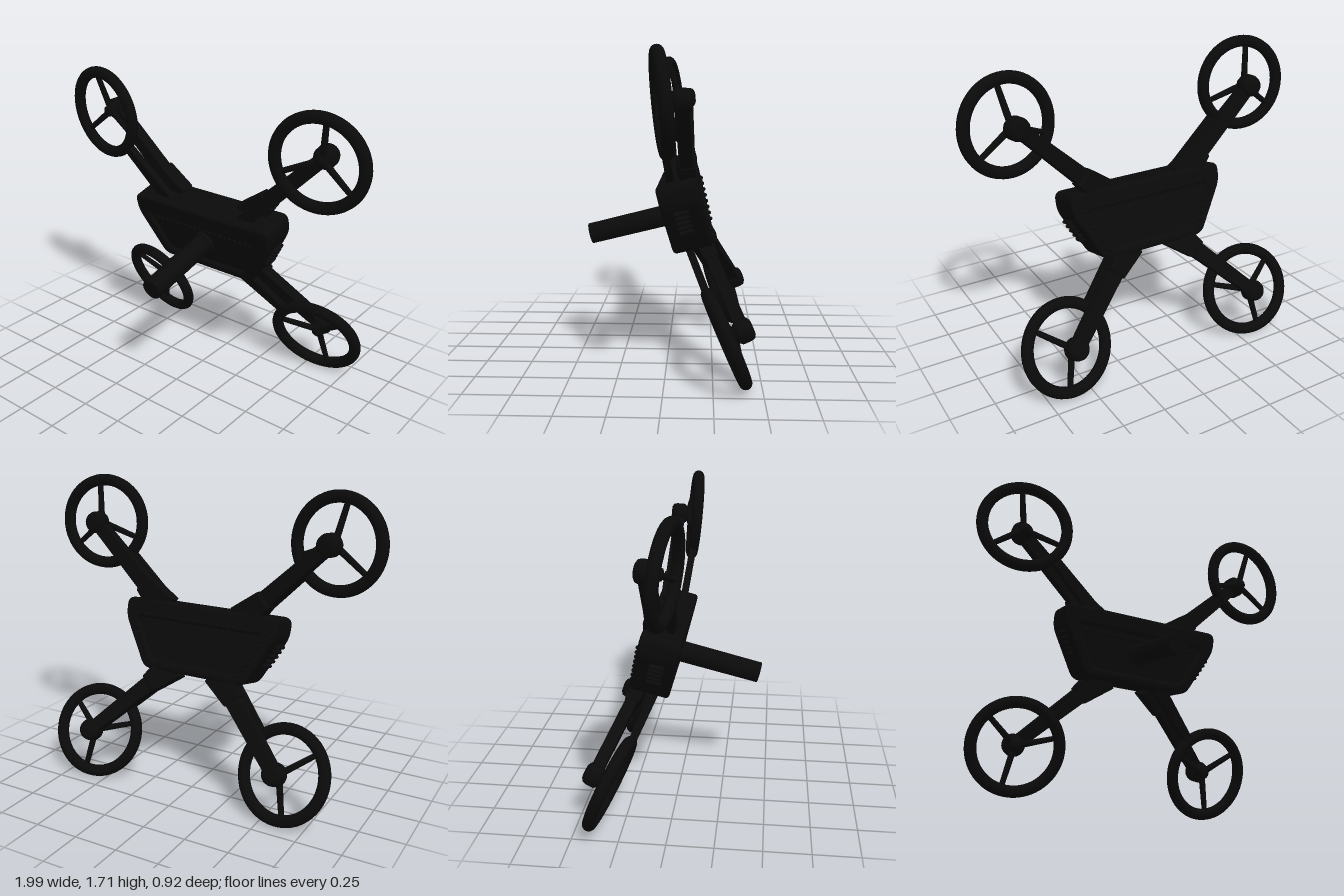
import * as THREE from 'three';
import { RoundedBoxGeometry } from 'three/addons/geometries/RoundedBoxGeometry.js';

const V = (x, y, z) => new THREE.Vector3(x, y, z);
const Z = V(0, 0, 1);

export function createModel() {
  const model = new THREE.Group();
  model.name = 'quadcopter';
  const mat = new THREE.MeshStandardMaterial({ color: 0x0a0a0a });

  // everything is pitched forward about the body centre
  const craft = new THREE.Group();
  craft.name = 'craft';
  craft.position.set(0, 0.845, -0.1);
  craft.rotation.x = 0.245;
  model.add(craft);

  const add = (parent, name, geo, pos) => {
    const mesh = new THREE.Mesh(geo, mat);
    mesh.name = name;
    if (pos) mesh.position.copy(pos);
    parent.add(mesh);
    return mesh;
  };

  // round bar between two points
  const rod = (parent, name, a, b, r0, r1, sides = 16) => {
    const d = b.clone().sub(a);
    const m = add(parent, name, new THREE.CylinderGeometry(r1, r0, d.length(), sides), a.clone().add(b).multiplyScalar(0.5));
    m.quaternion.setFromUnitVectors(V(0, 1, 0), d.normalize());
    return m;
  };

  // tapered rounded beam between two points, its depth kept towards z
  const beam = (name, a, b, w0, w1, depth) => {
    const dir = b.clone().sub(a);
    const len = dir.length();
    dir.normalize();
    const geo = new RoundedBoxGeometry(1, len, depth, 3, 0.015);
    const p = geo.attributes.position;
    for (let i = 0; i < p.count; i++) {
      const t = p.getY(i) / len + 0.5;
      p.setX(i, p.getX(i) * (w0 + (w1 - w0) * t));
    }
    geo.computeVertexNormals();
    const m = add(craft, name, geo, a.clone().add(b).multiplyScalar(0.5));
    const side = dir.clone().cross(Z).normalize();
    m.quaternion.setFromRotationMatrix(new THREE.Matrix4().makeBasis(side, dir, side.clone().cross(dir)));
  };

  // closed path with rounded corners
  const rounded = (path, pts, r) => {
    const n = pts.length;
    pts.forEach((q, i) => {
      const c = new THREE.Vector2(...q);
      const prev = new THREE.Vector2(...pts[(i + n - 1) % n]);
      const next = new THREE.Vector2(...pts[(i + 1) % n]);
      const s = prev.sub(c).setLength(r).add(c);
      const e = next.sub(c).setLength(r).add(c);
      if (i) path.lineTo(s.x, s.y); else path.moveTo(s.x, s.y);
      path.quadraticCurveTo(c.x, c.y, e.x, e.y);
    });
    path.closePath();
    return path;
  };

  // body shell with a framed opening, and the recessed panel inside it
  const outline = [[-0.47, 0.195], [-0.47, 0.085], [-0.315, -0.195], [0.315, -0.195], [0.47, 0.085], [0.47, 0.195]];
  const opening = [[-0.39, 0.09], [-0.27, -0.14], [0.27, -0.14], [0.39, 0.09]];
  const shape = rounded(new THREE.Shape(), outline, 0.045);
  shape.holes.push(rounded(new THREE.Path(), opening, 0.04));
  const shell = new THREE.ExtrudeGeometry(shape, {
    depth: 0.18, bevelThickness: 0.02, bevelSize: 0.02, bevelOffset: -0.02, bevelSegments: 3, curveSegments: 6
  });
  add(craft, 'bodyShell', shell, V(0, 0, -0.09));
  const plate = rounded(new THREE.Shape(), [[-0.42, 0.12], [-0.28, -0.17], [0.28, -0.17], [0.42, 0.12]], 0.04);
  add(craft, 'recessedPanel', new THREE.ExtrudeGeometry(plate, { depth: 0.18, bevelEnabled: false }), V(0, 0, -0.09));

  // forward barrel
  rod(craft, 'barrelCollar', V(0, -0.018, 0.08), V(0, -0.018, 0.115), 0.07, 0.066, 32);
  rod(craft, 'barrel', V(0, -0.018, 0.08), V(0, -0.018, 0.566), 0.06, 0.058, 32);

  // rivets along the panel frames
  const rivet = new THREE.SphereGeometry(0.012, 10, 6);
  for (let i = 0; i < 20; i++) {
    const x = -0.33 + 0.66 * i / 19;
    add(craft, 'frontRivet', rivet, V(x, 0.06, 0.089));
    add(craft, 'backRivet', rivet, V(x, 0.105, -0.109));
  }
  for (const sx of [1, -1]) {
    for (let i = 0; i < 8; i++) {
      const t = i / 7;
      add(craft, 'backRivet', rivet, V(sx * (0.415 - 0.13 * t), 0.1 - 0.24 * t, -0.111));
    }
    // cooling ribs on the slanted flanks
    for (let i = 0; i < 5; i++) {
      const y = 0.045 - 0.028 * i;
      const rib = add(craft, 'coolingRib', new RoundedBoxGeometry(0.08, 0.018, 0.08, 2, 0.008),
        V(sx * (0.432 - 0.0155 * i), y, 0.01));
      rib.rotation.z = -sx * 0.4;
    }
  }

  // four arms, each with a motor and a ringed rotor
  const corners = [
    { sy: 1, root: [0.24, 0.15], centre: V(0.725, 0.607, -0.045), prefix: 'upper' },
    { sy: -1, root: [0.14, -0.15], centre: V(0.595, -0.616, -0.068), prefix: 'lower' }
  ];
  for (const { sy, root, centre, prefix } of corners) {
    for (const sx of [1, -1]) {
      const name = prefix + (sx > 0 ? 'Left' : 'Right');
      const hub = centre.clone();
      hub.x *= sx;
      const normal = V(sx * 0.13, sy * 0.15, 1).normalize();
      const base = V(sx * root[0], root[1], -0.05);
      const motor = hub.clone().addScaledVector(normal, -0.095);

      // main arm, thick root sleeve and thin front strut to the ring
      beam(name + 'Arm', base, motor, 0.1, 0.07, 0.065);
      beam(name + 'ArmSleeve', base, base.clone().lerp(motor, 0.3), 0.17, 0.105, 0.085);
      const inward = base.clone().sub(hub).projectOnPlane(normal).normalize();
      const rim = hub.clone().addScaledVector(inward, 0.24);
      beam(name + 'FrontStrut', V(base.x, base.y, 0.04), rim, 0.08, 0.05, 0.04);

      const rotor = new THREE.Group();
      rotor.name = name + 'Rotor';
      rotor.position.copy(hub);
      rotor.quaternion.setFromUnitVectors(Z, normal);
      craft.add(rotor);
      add(rotor, 'guardRing', new THREE.TorusGeometry(0.241, 0.033, 16, 64));
      const cap = [[0, -0.145], [0.04, -0.145], [0.056, -0.135], [0.062, -0.115], [0.062, -0.07],
        [0.05, -0.055], [0.035, -0.04], [0.03, -0.015], [0, -0.01]];
      const pod = add(rotor, 'motor', new THREE.LatheGeometry(cap.map(q => new THREE.Vector2(...q)), 28));
      pod.rotation.x = Math.PI / 2;
      for (let k = 0; k < 3; k++) {
        const t = (80 + 120 * k) * Math.PI / 180;
        rod(rotor, 'spoke', V(0, 0, -0.045),
          V(sx * Math.cos(t) * 0.235, sy * Math.sin(t) * 0.235, 0), 0.019, 0.015, 12);
      }
    }
  }
  return model;
}
